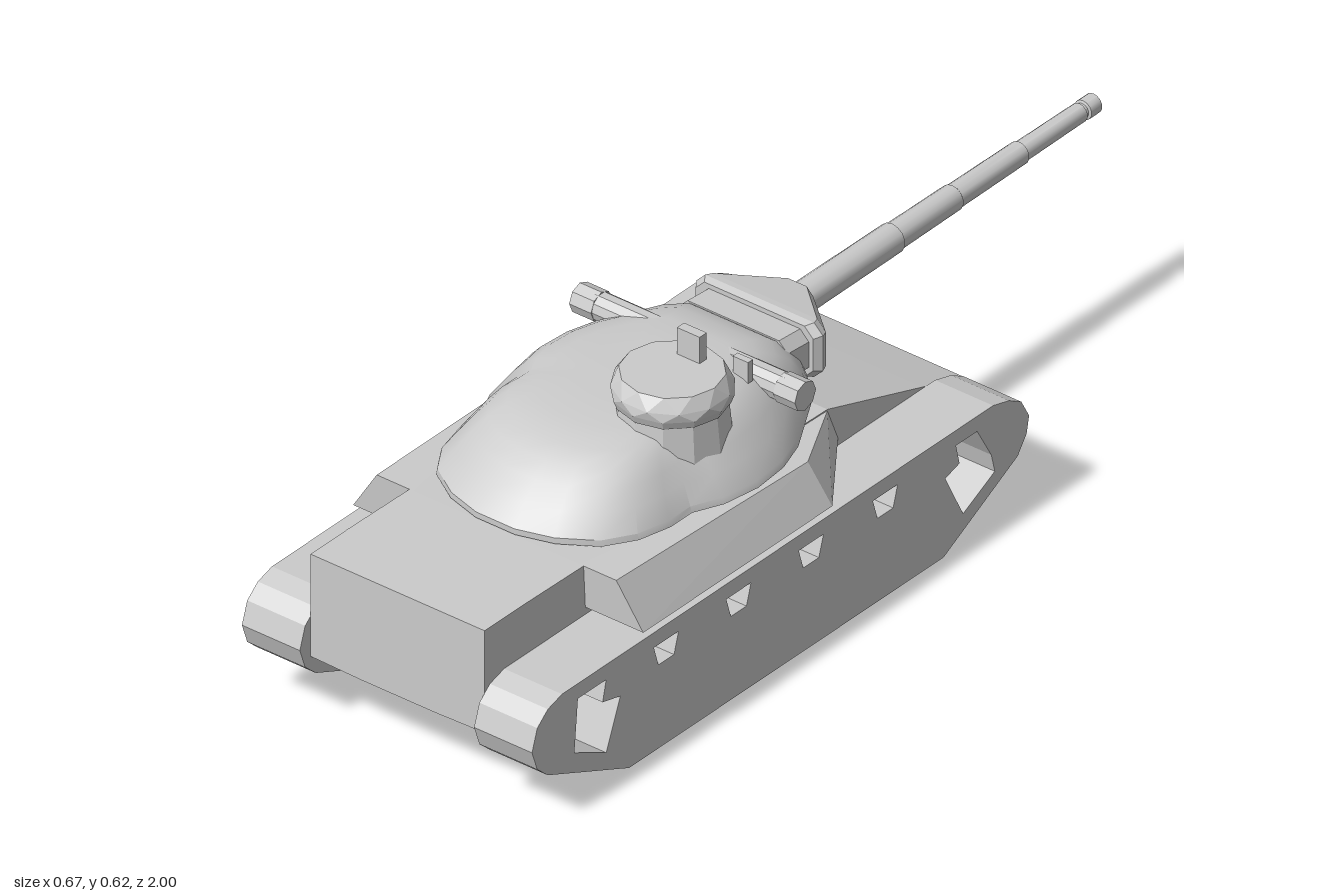
import * as THREE from 'three';
import { toCreasedNormals } from 'three/addons/utils/BufferGeometryUtils.js';
import { ConvexGeometry } from 'three/addons/geometries/ConvexGeometry.js';

const flat = new THREE.MeshStandardMaterial({ color: 0xcccccc, flatShading: true });
const smooth = new THREE.MeshStandardMaterial({ color: 0xcccccc });
const V = (x, y, z) => new THREE.Vector3(x, y, z);

// Skin closed cross-sections, ordered counter-clockwise seen from the last one
function loft(rings) {
  const n = rings[0].length, pos = [], idx = [];
  rings.forEach(r => r.forEach(p => pos.push(...p)));
  for (let i = 0; i < rings.length - 1; i++)
    for (let j = 0; j < n; j++) {
      const a = i * n + j, b = i * n + (j + 1) % n;
      idx.push(a, b, b + n, a, b + n, a + n);
    }
  [0, rings.length - 1].forEach((k, end) => {
    const c = [0, 1, 2].map(d => rings[k].reduce((s, p) => s + p[d], 0) / n);
    const ci = pos.length / 3;
    pos.push(...c);
    for (let j = 0; j < n; j++) {
      const a = k * n + j, b = k * n + (j + 1) % n;
      if (end) idx.push(ci, a, b); else idx.push(ci, b, a);
    }
  });
  const g = new THREE.BufferGeometry();
  g.setAttribute('position', new THREE.Float32BufferAttribute(pos, 3));
  g.setIndex(idx);
  g.computeVertexNormals();
  return g;
}

export function createModel() {
  const model = new THREE.Group();
  const add = (name, geo, mat = flat, parent = model) => {
    const m = new THREE.Mesh(geo, mat);
    m.name = name;
    parent.add(m);
    return m;
  };
  const box = (name, w, h, d, x, y, z, parent) => {
    const m = add(name, new THREE.BoxGeometry(w, h, d), flat, parent);
    m.position.set(x, y, z);
    return m;
  };

  // Hull: z, deck height, side bottom height, belly height
  const hull = [
    [-0.39, 0.215, 0.19, 0.185], [-0.27, 0.255, 0.143, 0.095], [0, 0.343, 0.143, 0.095],
    [0.69, 0.357, 0.143, 0.095], [0.86, 0.36, 0.143, 0.095], [0.97, 0.36, 0.143, 0.14],
  ];
  add('hull', loft(hull.map(([z, top, mid, bot]) => [
    [0.2, mid, z], [0.2, top, z], [-0.2, top, z], [-0.2, mid, z], [-0.085, bot, z], [0.085, bot, z],
  ])));

  // Tracks with return-run openings and open ends
  const poly = (pts, C) => new C(pts.map(p => new THREE.Vector2(...p)));
  const track = poly([
    [-0.165, 0], [0.725, 0], [0.955, 0.1], [0.985, 0.127], [1, 0.17], [0.985, 0.215], [0.955, 0.24],
    [0.915, 0.252], [-0.305, 0.252], [-0.35, 0.24], [-0.385, 0.22], [-0.407, 0.18], [-0.4, 0.145], [-0.375, 0.11],
  ], THREE.Shape);
  for (const z of [0.62, 0.415, 0.21, 0.0])
    track.holes.push(poly([[z - 0.035, 0.22], [z - 0.022, 0.177], [z + 0.022, 0.177], [z + 0.035, 0.22]], THREE.Path));
  track.holes.push(
    poly([[0.87, 0.22], [0.88, 0.11], [0.79, 0.065], [0.75, 0.165], [0.8, 0.177], [0.79, 0.22]], THREE.Path),
    poly([[-0.26, 0.22], [-0.2, 0.22], [-0.21, 0.177], [-0.17, 0.165], [-0.22, 0.065], [-0.31, 0.11], [-0.3, 0.15]], THREE.Path));
  for (const s of [1, -1]) {
    const side = s > 0 ? 'left' : 'right';
    const g = new THREE.ExtrudeGeometry(track, { depth: 0.133, bevelEnabled: false });
    g.rotateY(-Math.PI / 2);
    g.translate(s > 0 ? 0.333 : -0.2, 0, 0);
    add(side + 'Track', g);

    // Sloping side stowage above the track, tapering in toward the bow
    add(side + 'Sponson', new ConvexGeometry([
      V(0.19 * s, 0.357, 0.69), V(0.275 * s, 0.357, 0.69), V(0.333 * s, 0.267, 0.685), V(0.19 * s, 0.267, 0.685),
      V(0.285 * s, 0.347, 0.16), V(0.333 * s, 0.267, 0.15),
      V(0.19 * s, 0.34, 0), V(0.2 * s, 0.34, 0), V(0.2 * s, 0.267, -0.03), V(0.19 * s, 0.267, -0.03),
    ]));
  }

  // Driver periscopes on the glacis
  [[-0.165, -0.155, 0.5], [-0.11, -0.178, 0], [-0.06, -0.165, -0.4]].forEach(([x, z, turn]) => {
    box('driverPeriscope', 0.035, 0.03, 0.014, x, 0.297, z).rotation.y = turn;
  });

  // Turret: plan outline as z, half width from front to rear
  const turret = new THREE.Group();
  turret.name = 'turret';
  model.add(turret);
  const plan = [
    [-0.03, 0.13], [0.01, 0.175], [0.08, 0.215], [0.15, 0.255], [0.22, 0.278], [0.3, 0.285], [0.38, 0.272],
    [0.44, 0.245], [0.5, 0.245], [0.57, 0.228], [0.63, 0.19], [0.675, 0.12], [0.697, 0.045],
  ];
  const outline = [
    ...plan.map(([z, x]) => [-x, z]),
    ...plan.slice().reverse().map(([z, x]) => [x, z]),
  ];
  // Levels: height, then scale in width, toward the front and toward the rear
  const levels = [
    [0.342, 0.75, 0.8, 0.7], [0.354, 0.96, 0.98, 0.9], [0.362, 1, 1, 0.99], [0.374, 0.985, 1, 0.99],
    [0.41, 0.89, 0.98, 0.9], [0.44, 0.81, 0.93, 0.8], [0.462, 0.74, 0.84, 0.71], [0.48, 0.65, 0.72, 0.6],
    [0.49, 0.52, 0.58, 0.42], [0.493, 0.3, 0.35, 0.2],
  ];
  const mid = 0.33;
  const shell = loft(levels.map(([y, sx, sf, sr]) =>
    outline.map(([x, z]) => [x * sx, y, mid + (z - mid) * (z < mid ? sf : sr)])));
  add('turretShell', toCreasedNormals(shell, 0.45), smooth, turret);

  // Rangefinder tube crossing the turret, with an end cap each side
  const tube = new THREE.CylinderGeometry(0.028, 0.028, 0.44, 10).rotateZ(Math.PI / 2);
  add('rangefinderTube', tube, flat, turret).position.set(0, 0.463, 0.135);
  for (const s of [1, -1]) {
    const ear = new THREE.CylinderGeometry(0.03, 0.03, 0.05, 8).rotateX(0).rotateZ(Math.PI / 2);
    add(s > 0 ? 'leftRangefinderEar' : 'rightRangefinderEar', ear, flat, turret).position.set(0.234 * s, 0.463, 0.135);
  }

  // Commander's cupola: pedestal, collar and faceted vision ring
  const cx = 0.12, cz = 0.34;
  const disc = (name, rt, rb, y0, y1) =>
    add(name, new THREE.CylinderGeometry(rt, rb, y1 - y0, 12), flat, turret).position.set(cx, (y0 + y1) / 2, cz);
  disc('cupolaPedestal', 0.103, 0.115, 0.39, 0.508);
  const ring = [[0.106, 0.506, 0], [0.112, 0.522, 0], [0.112, 0.54, 0.5], [0.097, 0.566, 0]];
  add('cupola', new ConvexGeometry(ring.flatMap(([r, y, turn]) =>
    Array.from({ length: 12 }, (_, i) => {
      const a = (i + turn) * Math.PI / 6;
      return V(cx + r * Math.cos(a), y, cz + r * Math.sin(a));
    }))), flat, turret);
  box('cupolaSight', 0.052, 0.058, 0.02, cx, 0.593, 0.285, turret);
  box('roofPeriscope', 0.035, 0.045, 0.014, 0.148, 0.497, 0.175, turret);

  // Gun mantlet: collar plate and tapering shroud
  const bevelRect = (w, y0, y1, z, b) => [
    V(w, y0 + b, z), V(w, y1 - b, z), V(-w, y1 - b, z), V(-w, y0 + b, z),
    V(w - b, y0, z), V(w - b, y1, z), V(b - w, y1, z), V(b - w, y0, z),
  ];
  add('mantletCollar', new ConvexGeometry([
    ...bevelRect(0.125, 0.36, 0.46, 0.02, 0.02), ...bevelRect(0.125, 0.362, 0.455, -0.045, 0.02)]), flat, turret);
  add('mantlet', new ConvexGeometry([
    ...bevelRect(0.135, 0.358, 0.465, -0.04, 0.02), ...bevelRect(0.145, 0.354, 0.469, -0.055, 0.02),
    ...bevelRect(0.14, 0.356, 0.467, -0.07, 0.02), ...bevelRect(0.036, 0.37, 0.45, -0.162, 0.015)]), flat, turret);

  // Stepped barrel with muzzle ring, as radius and distance forward
  const bore = [
    [0, 0.15], [0.031, 0.15], [0.03, 0.43], [0.027, 0.432], [0.026, 0.6], [0.024, 0.602], [0.023, 0.79],
    [0.02, 0.792], [0.019, 0.96], [0.015, 0.962], [0.015, 0.968], [0.02, 0.97], [0.02, 1], [0.011, 1], [0.011, 0.96], [0, 0.96],
  ].map(p => new THREE.Vector2(...p));
  const barrel = toCreasedNormals(new THREE.LatheGeometry(bore, 14).rotateX(-Math.PI / 2), 0.6);
  add('gunBarrel', barrel, smooth, turret).position.y = 0.41;

  return model;
}
